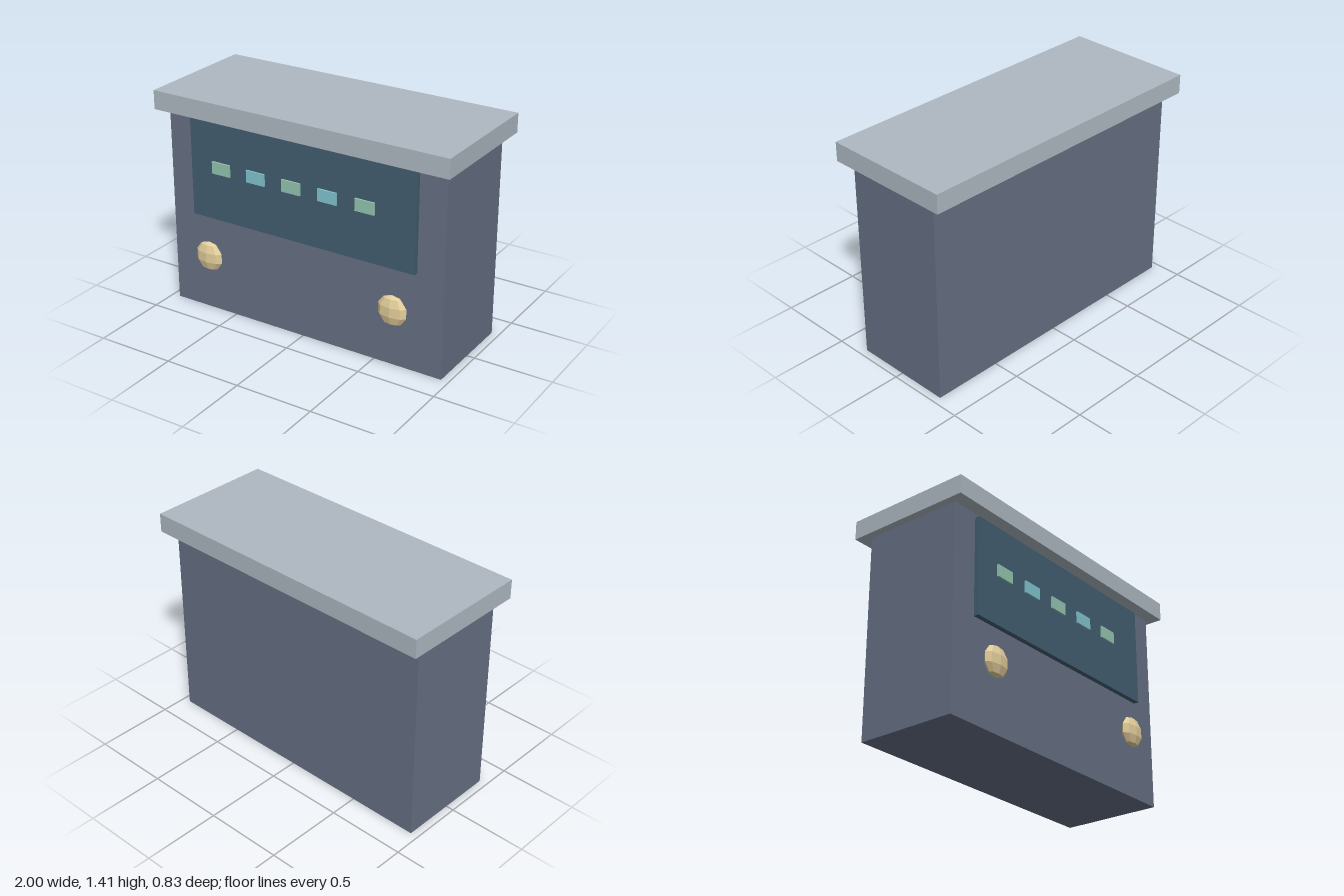
import * as THREE from 'three';

const mat = (color) => new THREE.MeshStandardMaterial({ color, flatShading: true });

export function createModel() {
  const model = new THREE.Group();
  model.name = 'controlConsole';

  const add = (name, geometry, material, x, y, z) => {
    const mesh = new THREE.Mesh(geometry, material);
    mesh.name = name;
    mesh.position.set(x, y, z);
    model.add(mesh);
    return mesh;
  };
  const box = (w, h, d) => new THREE.BoxGeometry(w, h, d);

  // Cabinet and overhanging top slab
  add('cabinet', box(1.9, 1.29, 0.648), mat(0x667084), 0, 0.645, -0.003);
  add('topSlab', box(2, 0.12, 0.82), mat(0xaeb8c2), 0, 1.35, -0.004);

  // Display panel standing proud of the cabinet front
  add('displayPanel', box(1.55, 0.627, 0.062), mat(0x425e70), 0, 0.952, 0.322);

  // Row of indicator lights, alternating green and blue, slightly off centre
  const green = mat(0x94c4b0);
  const blue = mat(0x82c4d0);
  const lightGeometry = box(0.128, 0.077, 0.025);
  for (let i = 0; i < 5; i++) {
    add(`indicatorLight${i + 1}`, lightGeometry, i % 2 ? blue : green, -0.552 + i * 0.25, 0.982, 0.3515);
  }

  // Pair of flattened faceted knobs
  const knobGeometry = new THREE.SphereGeometry(0.098, 8, 5);
  const brass = mat(0xe4cf9c);
  for (const side of [-1, 1]) {
    const knob = add(side > 0 ? 'leftKnob' : 'rightKnob', knobGeometry, brass, side * 0.65, 0.391, 0.378);
    knob.scale.z = 0.39;
  }

  return model;
}
